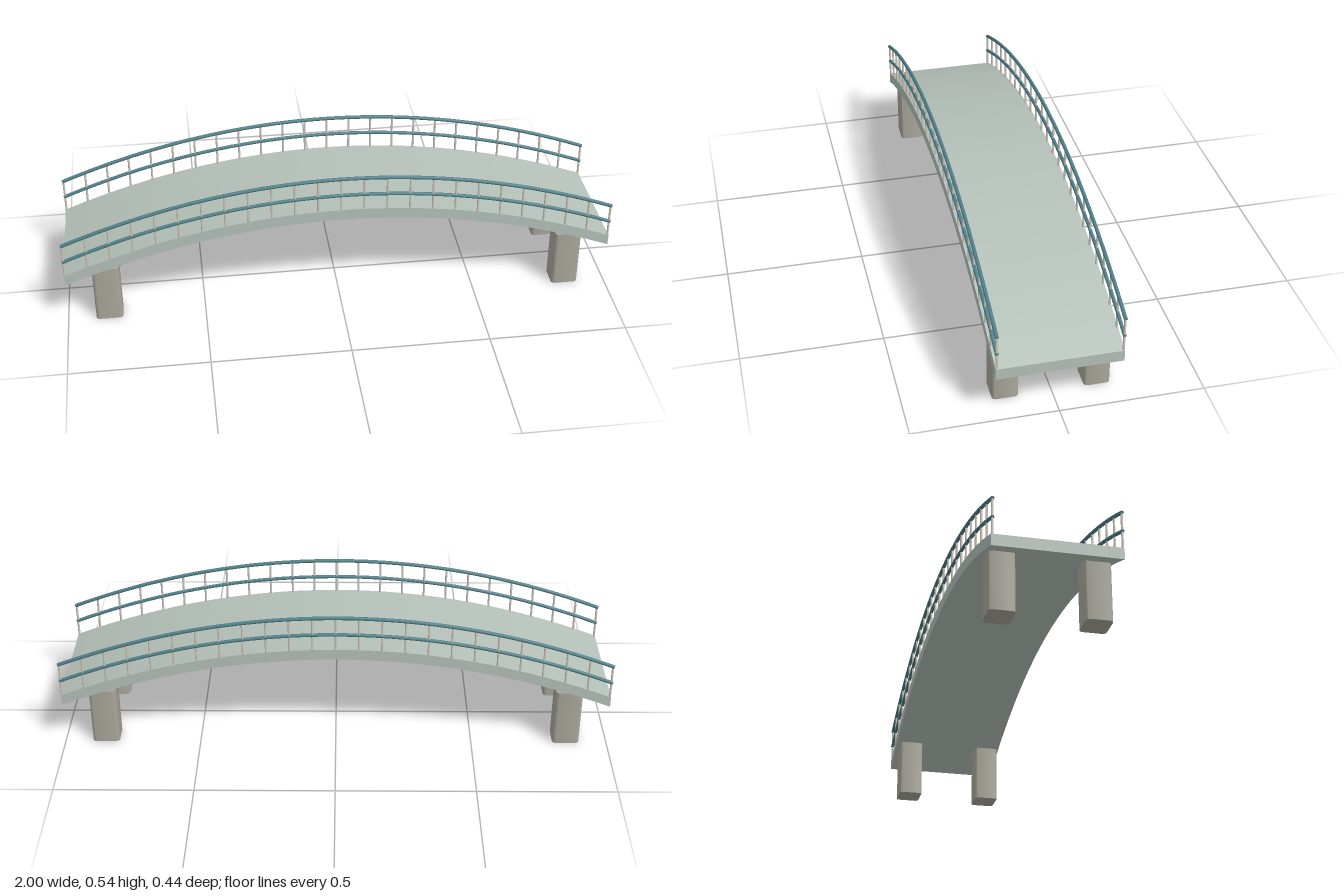
import * as THREE from 'three';
import { toCreasedNormals } from 'three/addons/utils/BufferGeometryUtils.js';

const HALF = 0.997;      // half span
const WIDTH = 0.43;      // deck width
const RAIL_Z = 0.211;    // railing offset from the centre line
const arch = (x) => 0.41 - 0.2 * x * x; // walking surface height

const deckMat = new THREE.MeshStandardMaterial({ color: 0xb4c0b8 });
const railMat = new THREE.MeshStandardMaterial({ color: 0x4f7f88 });
const postMat = new THREE.MeshStandardMaterial({ color: 0xcdc8bc });
const pierMat = new THREE.MeshStandardMaterial({ color: 0xaaa69c });

function add(parent, name, geometry, material) {
  const mesh = new THREE.Mesh(geometry, material);
  mesh.name = name;
  parent.add(mesh);
  return mesh;
}

// Parabola parallel to the deck, lifted by `lift`
function archCurve(lift, z) {
  const ctrlY = 2 * arch(0) - arch(HALF);
  return new THREE.QuadraticBezierCurve3(
    new THREE.Vector3(-HALF, arch(HALF) + lift, z),
    new THREE.Vector3(0, ctrlY + lift, z),
    new THREE.Vector3(HALF, arch(HALF) + lift, z)
  );
}

// Arched slab with vertical ends
function deckGeometry() {
  const t = 0.041, end = arch(HALF), ctrl = 2 * arch(0) - end;
  const s = new THREE.Shape();
  s.moveTo(-HALF, end - t);
  s.quadraticCurveTo(0, ctrl - t, HALF, end - t);
  s.lineTo(HALF, end);
  s.quadraticCurveTo(0, ctrl, -HALF, end);
  s.closePath();
  const g = new THREE.ExtrudeGeometry(s, { depth: WIDTH, bevelEnabled: false, curveSegments: 48 });
  g.translate(0, 0, -WIDTH / 2);
  return toCreasedNormals(g, 0.5);
}

// Upright block with rounded vertical edges
function pierGeometry(w, d, h, r) {
  const x = w / 2, y = d / 2, s = new THREE.Shape();
  s.absarc(x - r, y - r, r, 0, Math.PI / 2);
  s.absarc(-x + r, y - r, r, Math.PI / 2, Math.PI);
  s.absarc(-x + r, -y + r, r, Math.PI, Math.PI * 1.5);
  s.absarc(x - r, -y + r, r, Math.PI * 1.5, Math.PI * 2);
  s.closePath();
  const g = new THREE.ExtrudeGeometry(s, { depth: h, bevelEnabled: false, curveSegments: 6 });
  g.rotateX(-Math.PI / 2);
  return toCreasedNormals(g, 0.7);
}

// Curved tube rail closed by a disc at each end
function addRail(parent, name, lift, z, radius) {
  const curve = archCurve(lift, z);
  add(parent, name, new THREE.TubeGeometry(curve, 64, radius, 12), railMat);
  for (const t of [0, 1]) {
    const cap = add(parent, name + 'Cap', new THREE.CircleGeometry(radius, 12), railMat);
    const p = curve.getPoint(t);
    cap.position.copy(p);
    cap.lookAt(p.clone().addScaledVector(curve.getTangent(t), t ? 1 : -1));
  }
}

export function createModel() {
  const bridge = new THREE.Group();
  bridge.name = 'archedFootbridge';
  add(bridge, 'deck', deckGeometry(), deckMat);

  // Railings on both sides
  const POSTS = 25;
  for (const side of [-1, 1]) {
    const railing = new THREE.Group();
    railing.name = side > 0 ? 'frontRailing' : 'backRailing';
    bridge.add(railing);
    addRail(railing, 'handrail', 0.128, side * RAIL_Z, 0.0065);
    addRail(railing, 'middleRail', 0.06, side * RAIL_Z, 0.0062);
    for (let i = 0; i < POSTS; i++) {
      const x = (i / (POSTS - 1) * 2 - 1) * (HALF - 0.004);
      const post = add(railing, 'post', new THREE.CylinderGeometry(0.004, 0.004, 0.133, 10), postMat);
      post.position.set(x, arch(x) + 0.0615, side * RAIL_Z);
    }
  }

  // Four supporting piers
  const pier = pierGeometry(0.098, 0.09, 0.22, 0.014);
  for (const sx of [-1, 1]) {
    for (const sz of [-1, 1]) {
      add(bridge, 'pier', pier, pierMat).position.set(sx * 0.85, 0, sz * 0.158);
    }
  }
  return bridge;
}
